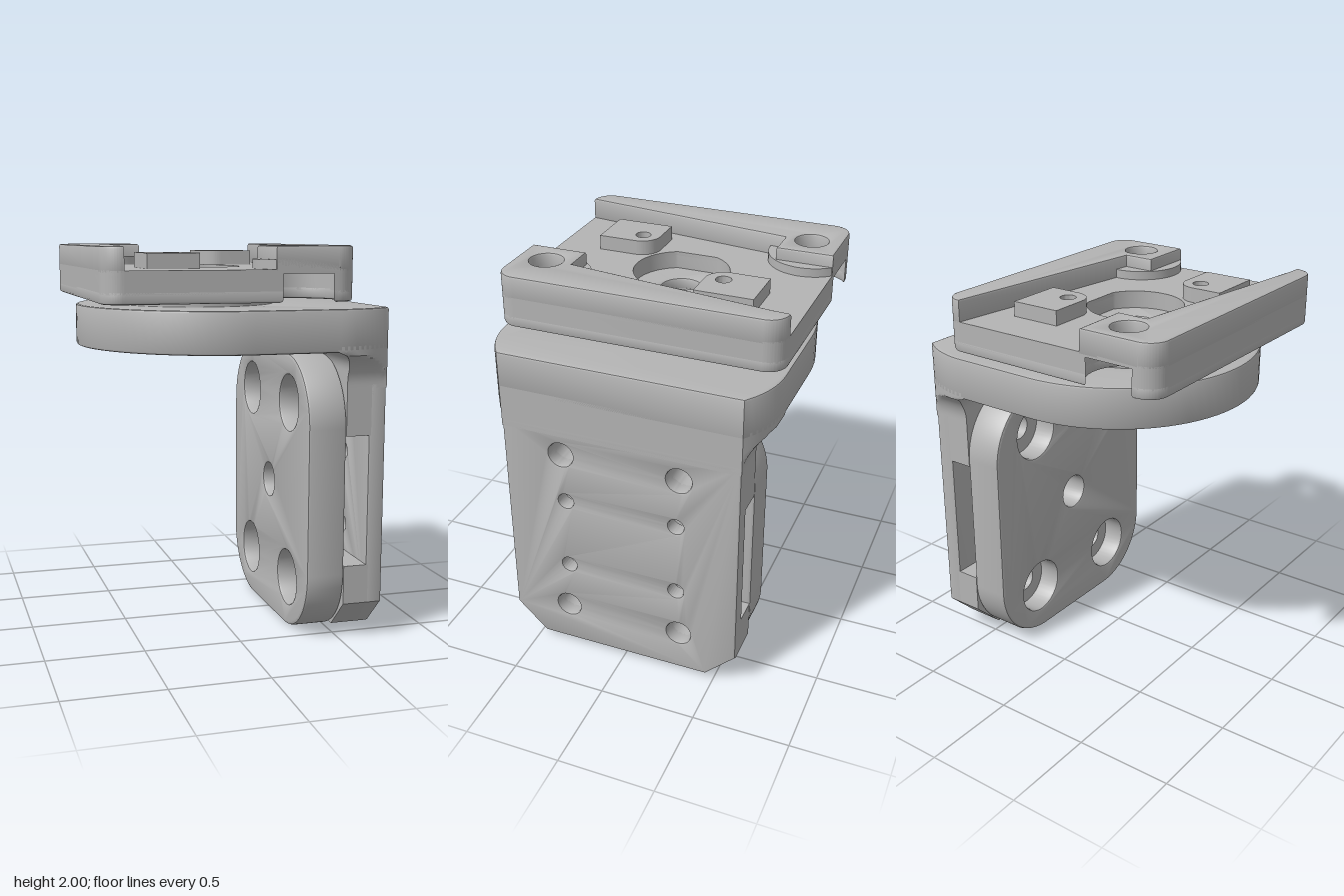
import * as THREE from 'three';
import { toCreasedNormals } from 'three/addons/utils/BufferGeometryUtils.js';

const PI = Math.PI;
const grey = new THREE.MeshStandardMaterial({ color: 0xb4b4b4 });
grey.name = 'machinedGrey';

function add(parent, name, geometry) {
  const mesh = new THREE.Mesh(toCreasedNormals(geometry, 0.5), grey);
  mesh.name = name;
  parent.add(mesh);
}

function extrude(shape, depth, bevel) {
  const g = new THREE.ExtrudeGeometry(shape, {
    depth: depth - 2 * bevel, curveSegments: 20, bevelEnabled: bevel > 0,
    bevelThickness: bevel, bevelSize: bevel, bevelOffset: -bevel, bevelSegments: 2,
  });
  return g.translate(0, 0, bevel);
}

// Horizontal slab: shape is drawn in (x, z)
const slabY = (shape, y0, y1, bevel = 0) =>
  extrude(shape, y1 - y0, bevel).rotateX(PI / 2).translate(0, y1, 0);
// Upright slab: shape is drawn in (-z, y)
const slabX = (shape, x0, x1, bevel = 0) =>
  extrude(shape, x1 - x0, bevel).rotateY(PI / 2).translate(x0, 0, 0);

const polygon = (pts) => new THREE.Shape(pts.map(([x, y]) => new THREE.Vector2(x, y)));
const circle = (x, y, r) => new THREE.Shape().absarc(x, y, r, 0, 2 * PI, false);
function withHoles(shape, ...holes) {
  shape.holes.push(...holes);
  return shape;
}

const BIG = [[-0.31, 1.195], [0.31, 1.195], [-0.31, 0.26], [0.31, 0.26]];
const SMALL = [[-0.295, 0.925], [0.295, 0.925], [-0.295, 0.53], [0.295, 0.53]];
const bigHoles = (r) => BIG.map(([z, y]) => circle(z, y, r));

// How far a quarter round of radius r has curved away after distance d
function curveAway(r, d) {
  const t = THREE.MathUtils.clamp(d, 0, r);
  return r - Math.sqrt(Math.max(0, r * r - t * t));
}

// Half width of the bracket plate toward its outer end
const plateEdge = (x) => 0.725 - curveAway(0.453, x - 0.43);

// Flared root joining the wall to the plate, stacked from level sections
function flareGeometry() {
  const rows = 14, n = 10, y0 = 1.3, y1 = 1.52, pos = [], idx = [];
  const ring = 2 * (n + 1);
  for (let j = 0; j <= rows; j++) {
    const y = y0 + ((y1 - y0) * j) / rows;
    const xin = 0.51 - curveAway(0.1, y - 1.39);
    const w = 0.62 + curveAway(0.17, y - 1.32);
    for (let k = 0; k < ring; k++) {
      const i = k <= n ? k : ring - 1 - k;
      const x = xin + ((0.72 - xin) * i) / n;
      pos.push(x, y, Math.min(plateEdge(x), w) * (k <= n ? 1 : -1));
    }
  }
  for (let j = 0; j < rows; j++) {
    for (let k = 0; k < ring; k++) {
      const a = j * ring + k, b = j * ring + ((k + 1) % ring);
      idx.push(a, b, b + ring, a, b + ring, a + ring);
    }
  }
  const g = new THREE.BufferGeometry();
  g.setAttribute('position', new THREE.Float32BufferAttribute(pos, 3));
  g.setIndex(idx);
  return g;
}

function buildBracket() {
  const g = new THREE.Group();
  g.name = 'angleBracket';

  // Round-ended plate
  const plate = new THREE.Shape();
  plate.absarc(0, 0, 0.725, PI / 2, 1.5 * PI, false);
  const edge = Array.from({ length: 11 }, (_, i) => 0.43 + 0.029 * i);
  edge.forEach((x) => plate.lineTo(x, -plateEdge(x)));
  edge.reverse().forEach((x) => plate.lineTo(x, plateEdge(x)));
  withHoles(plate, circle(-0.105, 0, 0.105));
  for (let i = 0; i < 3; i++) {
    const a = PI / 3 + (i * 2 * PI) / 3;
    plate.holes.push(circle(-0.105 + 0.36 * Math.cos(a), 0.36 * Math.sin(a), 0.035));
  }
  add(g, 'bracketPlate', slabY(plate, 1.49, 1.7, 0.012));
  add(g, 'bracketFlare', flareGeometry());

  // Wall with a full-width channel on its inner face
  const foot = [[-0.62, 0.19], [-0.46, 0.035], [0.46, 0.035], [0.62, 0.19]];
  const wall = withHoles(polygon([...foot, [0.62, 1.35], [-0.62, 1.35]]),
    ...bigHoles(0.065), ...SMALL.map(([z, y]) => circle(z, y, 0.04)));
  add(g, 'bracketWall', slabX(wall, 0.63, 0.72, 0.012));
  const [h1, h2, h3, h4] = bigHoles(0.065);
  const upper = polygon([[-0.62, 1.06], [0.62, 1.06], [0.62, 1.35], [-0.62, 1.35]]);
  add(g, 'upperPad', slabX(withHoles(upper, h1, h2), 0.51, 0.65));
  const lower = polygon([...foot, [0.62, 0.39], [-0.62, 0.39]]);
  add(g, 'lowerPad', slabX(withHoles(lower, h3, h4), 0.51, 0.65));
  return g;
}

function buildClampPlate() {
  const g = new THREE.Group();
  g.name = 'clampPlate';
  const s = new THREE.Shape();
  const r = 0.35, w = 0.625, y0 = 0, y1 = 1.45;
  s.absarc(w - r, y0 + r, r, -PI / 2, 0, false);
  s.absarc(w - r, y1 - r, r, 0, PI / 2, false);
  s.absarc(r - w, y1 - r, r, PI / 2, PI, false);
  s.absarc(r - w, y0 + r, r, PI, 1.5 * PI, false);
  withHoles(s, ...bigHoles(0.145), circle(0, 0.727, 0.09));
  add(g, 'clampBody', slabX(s, 0.31, 0.51, 0.015));
  // Counterbore floors
  BIG.forEach(([z, y]) => add(g, 'counterbore',
    slabX(withHoles(circle(z, y, 0.15), circle(z, y, 0.065)), 0.43, 0.508)));
  return g;
}

// Top receiver, drawn about its own centre; U, V locate the bolts
const HW = 0.6175, HD = 0.725, U = 0.365, V = 0.57;

function receiverOutline(bitten) {
  const p = new THREE.Path();
  p.absarc(HW - 0.1, HD - 0.1, 0.1, 0, PI / 2, false);
  if (bitten) {
    const a = Math.asin((HD - V) / 0.2);
    p.absarc(U, V, 0.2, a, -PI - a, true);
  }
  p.absarc(0.1 - HW, HD - 0.1, 0.1, PI / 2, PI, false);
  const half = p.getPoints(20);
  return new THREE.Shape([...half, ...half.map((v) => new THREE.Vector2(-v.x, -v.y))]);
}

function recess() {
  const a = Math.acos(0.22 / 0.245), p = new THREE.Shape();
  p.absarc(0, 0, 0.245, a, PI - a, false);
  p.absarc(0, 0, 0.245, PI + a, 2 * PI - a, false);
  return p;
}

function buildReceiver() {
  const g = new THREE.Group();
  g.name = 'receiver';
  g.position.x = -0.105;

  // Swivel ring
  add(g, 'swivelRing', slabY(withHoles(circle(0, 0, 0.41), circle(0, 0, 0.105)), 1.69, 1.745));

  // Base in layers: bolt pockets below, central recess above
  add(g, 'receiverBottom', slabY(withHoles(receiverOutline(true), circle(0, 0, 0.105)), 1.735, 1.8, 0.012));
  add(g, 'receiverMiddle', slabY(withHoles(receiverOutline(true), recess()), 1.78, 1.87));
  add(g, 'receiverFloor', slabY(withHoles(receiverOutline(false), recess(),
    circle(U, V, 0.085), circle(-U, -V, 0.085)), 1.87, 1.89));

  for (const turn of [0, PI]) {
    const side = new THREE.Group();
    side.name = turn ? 'rightSide' : 'leftSide';
    side.rotation.y = turn;
    g.add(side);

    // Rail with a bolt lug at one end
    const rail = new THREE.Shape();
    rail.moveTo(U, -HD);
    rail.absarc(HW - 0.1, 0.1 - HD, 0.1, -PI / 2, 0, false);
    rail.absarc(HW - 0.1, HD - 0.1, 0.1, 0, PI / 2, false);
    rail.lineTo(0.205, HD);
    rail.lineTo(0.205, 0.43);
    rail.lineTo(U, 0.43);
    add(side, 'rail', slabY(withHoles(rail, circle(U, V, 0.085)), 1.87, 2, 0.012));

    // Raised seat around the bolt
    const a = Math.asin((HD - V) / 0.22);
    const seat = new THREE.Shape().absarc(U, V, 0.22, PI - a, 2 * PI + a, false);
    add(side, 'boltSeat', slabY(withHoles(seat, circle(U, V, 0.085)), 1.88, 1.935));

    // Stop block with one rounded corner
    const block = new THREE.Shape();
    block.moveTo(U, -0.2);
    block.lineTo(U, -0.5);
    block.lineTo(0.105, -0.5);
    block.lineTo(0.105, -0.3);
    block.absarc(0.205, -0.3, 0.1, PI, PI / 2, true);
    add(side, 'stopBlock', slabY(withHoles(block, circle(0.197, -0.293, 0.04)), 1.88, 1.965));
  }
  return g;
}

export function createModel() {
  const model = new THREE.Group();
  model.name = 'mountingBracket';
  model.add(buildBracket(), buildClampPlate(), buildReceiver());
  return model;
}
